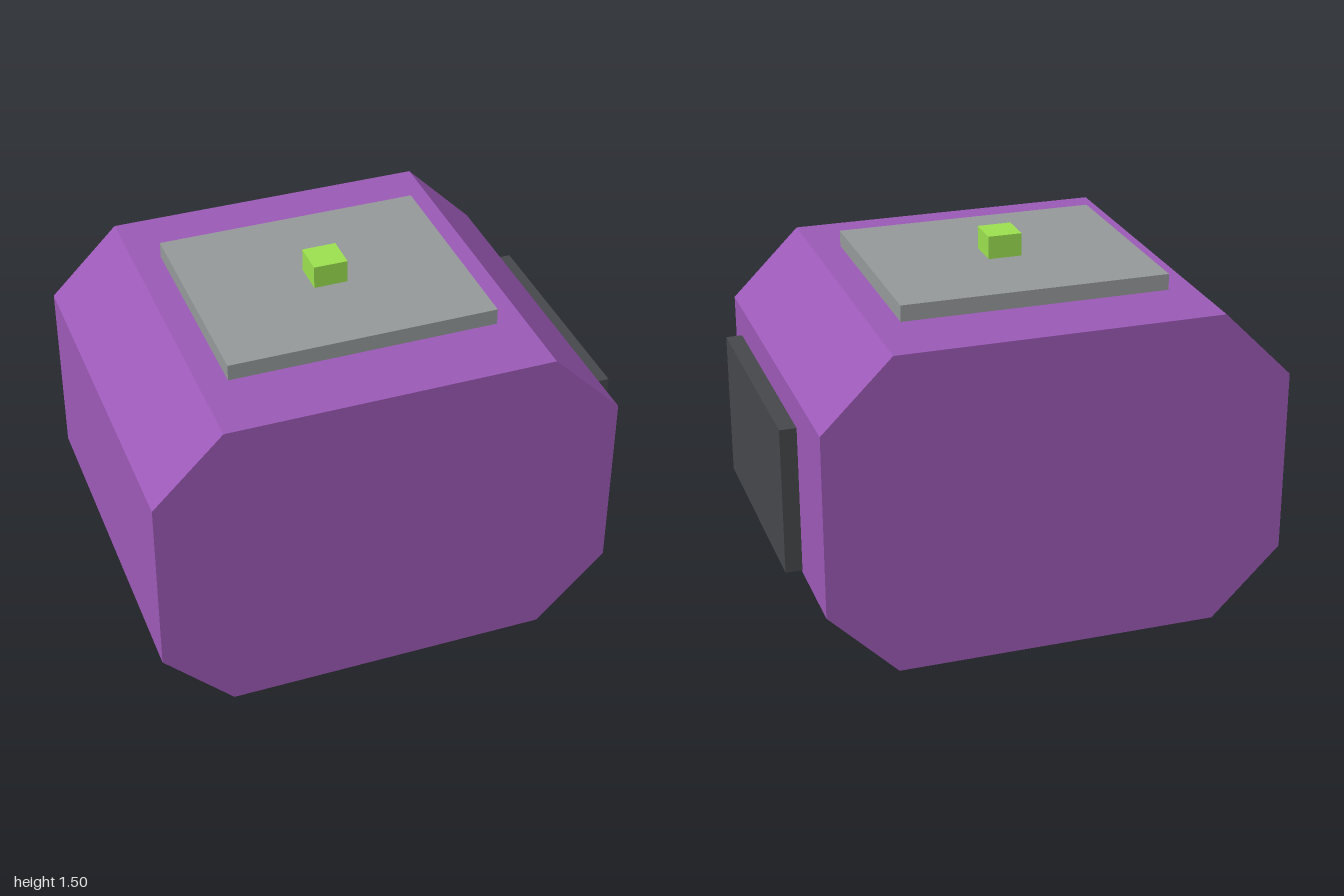
import * as THREE from 'three';

const material = (color) => new THREE.MeshStandardMaterial({ color, flatShading: true });

// Box given by its lower and upper corners
function block(name, color, [x0, y0, z0], [x1, y1, z1]) {
  const mesh = new THREE.Mesh(new THREE.BoxGeometry(x1 - x0, y1 - y0, z1 - z0), material(color));
  mesh.position.set((x0 + x1) / 2, (y0 + y1) / 2, (z0 + z1) / 2);
  mesh.name = name;
  return mesh;
}

// Prism along z with chamfered corners
function chamferedPrism(name, color, width, height, depth, chamfer) {
  const w = width / 2, h = height / 2, c = chamfer;
  const outline = new THREE.Shape([
    [-w + c, -h], [w - c, -h], [w, -h + c], [w, h - c],
    [w - c, h], [-w + c, h], [-w, h - c], [-w, -h + c],
  ].map(([x, y]) => new THREE.Vector2(x, y)));
  const geometry = new THREE.ExtrudeGeometry(outline, { depth, bevelEnabled: false });
  geometry.translate(0, 0, -depth / 2);
  const mesh = new THREE.Mesh(geometry, material(color));
  mesh.name = name;
  return mesh;
}

export function createModel() {
  const model = new THREE.Group();
  model.name = 'chamferedBlock';

  // Main octagonal body
  const body = chamferedPrism('body', 0x9b59b6, 1.905, 1.337, 1.526, 0.286);
  body.position.set(-0.0475, 0.6685, 0);
  model.add(body);

  // Lid plate with its small button
  model.add(block('topPlate', 0x95999a, [-0.6, 1.342, -0.458], [0.503, 1.409, 0.458]));
  model.add(block('button', 0x9be04f, [-0.118, 1.409, -0.071], [0.022, 1.504, 0.071]));

  // Dark panel standing just off the left side
  model.add(block('sidePanel', 0x45474a, [0.932, 0.364, -0.497], [1, 0.977, 0.497]));

  return model;
}
